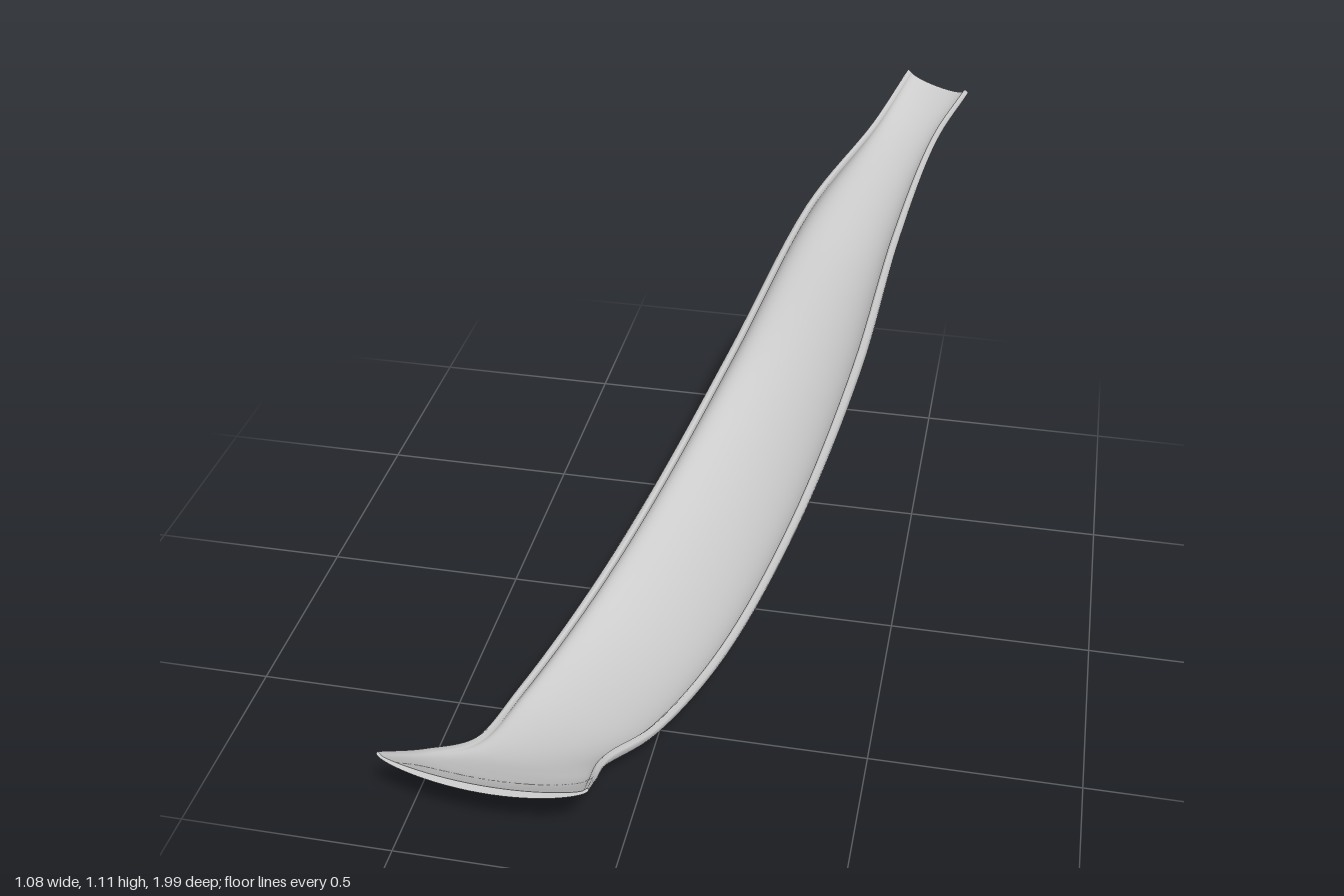
import * as THREE from 'three';
import { mergeGeometries } from 'three/addons/utils/BufferGeometryUtils.js';

// Stations from the narrow stem end to the flared lip:
// right side, left side, [trough depth, wall thickness, inward curl of the right rim]
const STATIONS = [
  [[0.37, 1.10, -0.99], [0.54, 1.09, -0.90], [0.045, 0.018, 0]],
  [[0.30, 1.00, -0.85], [0.475, 1.00, -0.79], [0.055, 0.02, 0.1]],
  [[0.155, 0.825, -0.66], [0.41, 0.82, -0.57], [0.095, 0.025, 0.3]],
  [[0.00, 0.50, -0.40], [0.352, 0.58, -0.285], [0.108, 0.027, 0.42]],
  [[-0.15, 0.25, -0.05], [0.253, 0.325, 0.06], [0.102, 0.027, 0.45]],
  [[-0.26, 0.105, 0.21], [0.135, 0.15, 0.36], [0.095, 0.027, 0.4]],
  [[-0.35, 0.05, 0.50], [0.02, 0.095, 0.60], [0.076, 0.026, 0.25]],
  [[-0.40, 0.065, 0.70], [-0.065, 0.105, 0.73], [0.06, 0.025, 0.1]],
  [[-0.48, 0.13, 0.82], [-0.07, 0.13, 0.82], [0.048, 0.024, 0]],
  [[-0.54, 0.215, 0.93], [-0.045, 0.25, 0.985], [0.028, 0.016, 0]],
];
const ROWS = 72;
const SEG = 28;

function curveOf(column) {
  return new THREE.CatmullRomCurve3(STATIONS.map((s) => new THREE.Vector3(...s[column])));
}

// One closed U-shaped section: outside, rounded rim, inside, rounded rim
function section(curves, t) {
  const [rightSide, leftSide, shape] = curves;
  const middle = (u) => rightSide.getPoint(u).lerp(leftSide.getPoint(u), 0.5);
  const a = rightSide.getPoint(t), b = leftSide.getPoint(t);
  const { x: depth, y: wall, z: curl } = shape.getPoint(t);
  const half = b.clone().sub(a).multiplyScalar(0.5);
  const mid = middle(t);
  const tangent = middle(Math.min(1, t + 0.01)).sub(middle(Math.max(0, t - 0.01)));
  const down = half.clone().cross(tangent).normalize();
  const inset = 1 - (wall * 0.7) / half.length();
  // the lip sags between its two corners
  const sag = 0.025 * THREE.MathUtils.smoothstep(t, 0.82, 1);
  const at = (s, d) => {
    const p = mid.clone().addScaledVector(half, s).addScaledVector(down, d);
    p.y -= sag * (1 - s * s);
    return p;
  };
  const outside = [], inside = [];
  for (let k = 0; k <= SEG; k++) {
    const angle = THREE.MathUtils.lerp(-curl, Math.PI, k / SEG);
    const s = -Math.cos(angle), d = Math.sin(angle);
    outside.push(at(s, depth * d));
    inside.push(at(s * inset, (depth - wall) * d));
  }
  const roundedRim = (k, other) => outside[k].clone().lerp(inside[k], 0.5)
    .add(outside[k].clone().sub(outside[other]).setLength(wall * 0.35));
  return {
    outside, inside,
    loop: [...outside, roundedRim(SEG, SEG - 1), ...inside.slice().reverse(), roundedRim(0, 1)],
  };
}

function toGeometry(points, index) {
  const geometry = new THREE.BufferGeometry().setFromPoints(points);
  geometry.setIndex(index);
  geometry.computeVertexNormals();
  return geometry;
}

function skin(sections) {
  const points = sections.flatMap((s) => s.loop);
  const n = sections[0].loop.length;
  const index = [];
  for (let i = 0; i < sections.length - 1; i++) {
    for (let j = 0; j < n; j++) {
      const a = i * n + j, b = i * n + ((j + 1) % n);
      index.push(a, b, b + n, a, b + n, a + n);
    }
  }
  return toGeometry(points, index);
}

// Crescent closing one end
function cap({ outside, inside, loop }, flip) {
  const n = SEG + 1;
  const points = [...outside, ...inside, loop[n], loop[loop.length - 1]];
  const triangles = [[SEG, 2 * n, n + SEG], [0, n, 2 * n + 1]];
  for (let k = 0; k < SEG; k++) {
    triangles.push([k, k + 1, n + k + 1], [k, n + k + 1, n + k]);
  }
  return toGeometry(points, triangles.flatMap((t) => (flip ? t.reverse() : t)));
}

export function createModel() {
  const curves = [0, 1, 2].map(curveOf);
  const sections = [];
  for (let i = 0; i <= ROWS; i++) sections.push(section(curves, i / ROWS));

  const geometry = mergeGeometries([
    skin(sections), cap(sections[0], true), cap(sections[ROWS], false),
  ]);
  // Rest the belly on the ground
  geometry.computeBoundingBox();
  geometry.translate(0, -geometry.boundingBox.min.y, 0);

  const peel = new THREE.Mesh(geometry, new THREE.MeshStandardMaterial({
    color: 0xcccccc, side: THREE.DoubleSide,
  }));
  peel.name = 'curvedPeel';
  const group = new THREE.Group();
  group.name = 'peelStrip';
  group.add(peel);
  return group;
}
